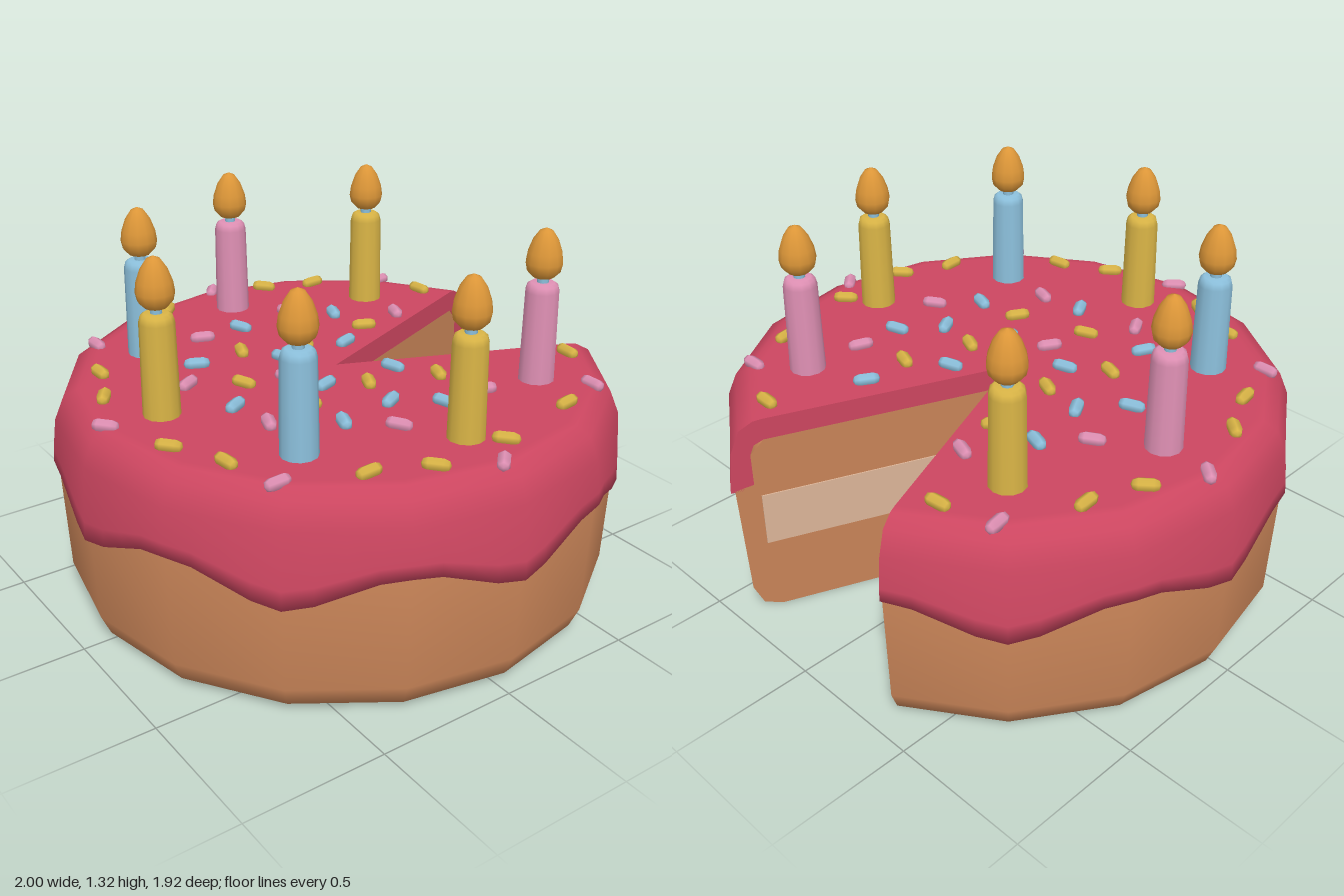
import * as THREE from 'three';

const CENTER_Z = -0.038; // cake axis, shifted because a slice is missing
const START = -Math.PI * 0.875, SWEEP = Math.PI * 1.75;
const TOP = 0.78;

const material = (name, color, side = THREE.FrontSide) => {
  const m = new THREE.MeshStandardMaterial({ color, side });
  m.name = name;
  return m;
};

const points = (list) => list.map(([x, y]) => new THREE.Vector2(x, y));

function addMesh(parent, name, geometry, mat) {
  const mesh = new THREE.Mesh(geometry, mat);
  mesh.name = name;
  parent.add(mesh);
  return mesh;
}

// Calls back for each of the two cut planes with its turn about y and inward side
function onCuts(make) {
  for (const phi of [START, START + SWEEP]) make().rotation.y = phi - Math.PI / 2;
}

export function createModel() {
  const model = new THREE.Group();
  model.name = 'cake';
  const sponge = material('sponge brown', 0xc78357, THREE.DoubleSide);
  const icing = material('icing red', 0xcc4660, THREE.DoubleSide);
  const cream = material('cream filling', 0xdcb498, THREE.DoubleSide);
  const pink = material('candy pink', 0xdf90b4);
  const blue = material('candy blue', 0x8cc0dc);
  const yellow = material('candy yellow', 0xd9b446);
  const orange = material('flame orange', 0xdc9638);

  const cake = new THREE.Group();
  cake.name = 'slicedCake';
  cake.position.z = CENTER_Z;
  model.add(cake);

  // Sponge: sixteen-sided, with two sides cut out
  const spongeProfile = points([
    [0, 0], [0.86, 0], [0.87, 0], [0.935, 0.025], [0.968, 0.1], [0.985, 0.52],
    [0.92, 0.53], [0.92, 0.65], [0.87, 0.7], [0, 0.7],
  ]);
  addMesh(cake, 'sponge', new THREE.LatheGeometry(spongeProfile, 14, START, SWEEP), sponge);
  onCuts(() => addMesh(cake, 'spongeCutFace', new THREE.ShapeGeometry(new THREE.Shape(spongeProfile)), sponge));

  // Icing: the lower rim waves up and down, sides follow the sixteen-sided outline
  const icingProfile = points([
    [0.92, 0.515], [1, 0.515], [0.997, 0.56], [0.983, 0.67], [0.95, 0.75], [0.9, TOP - 0.003], [0.87, TOP], [0, TOP],
  ]);
  const icingGeometry = new THREE.LatheGeometry(icingProfile, 56, START, SWEEP);
  const pos = icingGeometry.attributes.position;
  const side = Math.PI / 8;
  for (let i = 0; i < pos.count; i++) {
    const x = pos.getX(i), y = pos.getY(i), z = pos.getZ(i);
    const phi = Math.atan2(x, z) + 2 * Math.PI;
    const flat = Math.cos(side / 2) / Math.cos((phi % side) - side / 2);
    const drop = 0.052 + 0.052 * Math.cos(8 * phi);
    const weight = y < 0.52 ? 1 : y < 0.6 ? 0.8 : 0;
    pos.setXYZ(i, x * flat, y - drop * weight, z * flat);
  }
  addMesh(cake, 'icing', icingGeometry, icing);
  const icingCut = new THREE.Shape([
    ...icingProfile, ...points([[0, 0.7], [0.87, 0.7], [0.905, 0.685], [0.92, 0.65]]),
  ]);
  onCuts(() => addMesh(cake, 'icingCutFace', new THREE.ShapeGeometry(icingCut), icing));

  // Cream layer showing on both cut faces
  const creamGeometry = new THREE.BoxGeometry(0.87, 0.2, 0.009).translate(0.465, 0.38, 0);
  onCuts(() => addMesh(cake, 'creamLayer', creamGeometry, cream));

  // Candles, one every 45 degrees except at the missing slice
  const waxGeometry = new THREE.LatheGeometry(points([
    [0.063, TOP - 0.03], [0.058, 1.1], [0.052, 1.122], [0.04, 1.13], [0, 1.13],
  ]), 12);
  const wickGeometry = new THREE.CylinderGeometry(0.02, 0.02, 0.06, 8).translate(0, 1.145, 0);
  const flameGeometry = new THREE.LatheGeometry(points([
    [0, 1.147], [0.036, 1.15], [0.057, 1.172], [0.063, 1.2], [0.058, 1.235], [0.043, 1.277], [0.022, 1.308], [0, 1.318],
  ]), 12);
  [yellow, pink, blue, yellow, blue, yellow, pink].forEach((wax, i) => {
    const a = (i - 3) * Math.PI / 4;
    const candle = new THREE.Group();
    candle.name = 'candle';
    candle.position.set(0.695 * Math.sin(a), 0, 0.695 * Math.cos(a));
    addMesh(candle, 'wax', waxGeometry, wax);
    addMesh(candle, 'wick', wickGeometry, blue);
    addMesh(candle, 'flame', flameGeometry, orange);
    cake.add(candle);
  });

  // Sprinkles: x and z in hundredths, then the turn in degrees
  const sprinkles = new THREE.Group();
  sprinkles.name = 'sprinkles';
  model.add(sprinkles);
  const sprinkleGeometry = new THREE.CapsuleGeometry(0.023, 0.048, 2, 6).rotateZ(Math.PI / 2);
  const scatter = (mat, list) => list.forEach(([x, z, turn]) => {
    const s = addMesh(sprinkles, 'sprinkle', sprinkleGeometry, mat);
    const r = Math.hypot(x / 100, z / 100 - CENTER_Z);
    s.position.set(x / 100, r > 0.86 ? 0.783 : 0.79, z / 100);
    s.rotation.y = -turn * Math.PI / 180;
  });
  scatter(yellow, [
    [-42, -75, -5], [40, -77, 3], [-73, -44, 85], [-80, -25, -40], [-23, -33, -65], [28, -27, 20], [71, -46, 80],
    [79, -12, -40], [-20, -5, 25], [20, -3, 25], [-80, 19, 40], [-28, 18, 20], [23, 24, -60], [80, 17, -40],
    [-71, 37, 80], [-4, 32, -20], [72, 36, 85], [-40, 68, 0], [-21, 76, 35], [23, 76, -40], [42, 67, -5],
  ]);
  scatter(blue, [
    [-40, -31, 20], [-14, -18, 70], [-36, -8, 60], [-48, 6, -20], [-15, 9, -15], [-27, 37, -65], [27, -45, -60],
    [14, -18, -15], [47, -14, -15], [36, 0, 60], [13, 10, 70], [40, 22, 20], [10, 44, 60],
  ]);
  scatter(pink, [
    [-61, -69, 80], [-27, -51, 20], [-52, -18, -30], [-89, -6, 40], [-47, 23, -70], [-1, 16, -60], [47, -31, -70],
    [64, -65, 0], [89, -2, 45], [52, 9, -30], [-14, 48, 60], [27, 42, 20], [-65, 57, 0], [61, 61, 85], [-2, 85, -40],
  ]);
  return model;
}
